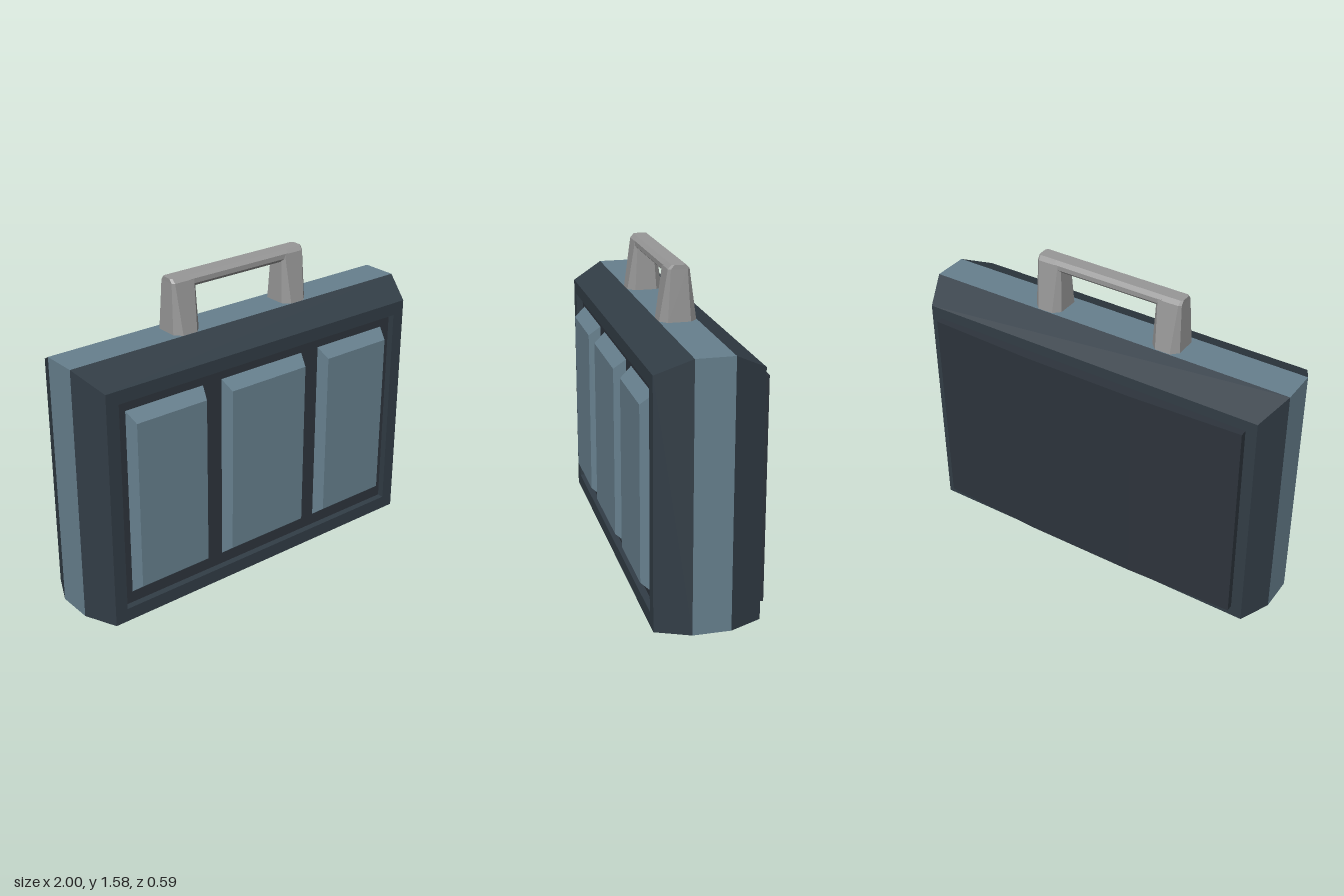
import * as THREE from 'three';

const mat = (name, color) => {
  const m = new THREE.MeshStandardMaterial({ color });
  m.name = name;
  return m;
};

// Maps a section point (u, v) at height w to space for each loft axis.
const AXES = {
  x: (u, v, w) => [w, u, v],
  y: (u, v, w) => [v, w, u],
  z: (u, v, w) => [u, v, w],
};

// Counter-clockwise rectangle, optionally with cut corners.
function rect(u0, u1, v0, v1, c = 0) {
  if (!c) return [[u0, v0], [u1, v0], [u1, v1], [u0, v1]];
  return [
    [u0 + c, v0], [u1 - c, v0], [u1, v0 + c], [u1, v1 - c],
    [u1 - c, v1], [u0 + c, v1], [u0, v1 - c], [u0, v0 + c],
  ];
}

// Flat-faced skin through sections [w, points], with end caps if wanted.
function loft(axis, sections, capStart = true, capEnd = true) {
  const pos = [];
  const loops = sections.map(([w, pts]) => pts.map(([u, v]) => AXES[axis](u, v, w)));
  const tri = (a, b, c) => pos.push(...a, ...b, ...c);
  for (let i = 0; i < loops.length - 1; i++) {
    const A = loops[i], B = loops[i + 1], n = A.length;
    for (let j = 0; j < n; j++) {
      const k = (j + 1) % n;
      tri(A[j], A[k], B[k]);
      tri(A[j], B[k], B[j]);
    }
  }
  const first = loops[0], last = loops[loops.length - 1];
  for (let j = 1; j < first.length - 1; j++) {
    if (capStart) tri(first[0], first[j + 1], first[j]);
    if (capEnd) tri(last[0], last[j], last[j + 1]);
  }
  const g = new THREE.BufferGeometry();
  g.setAttribute('position', new THREE.Float32BufferAttribute(pos, 3));
  g.computeVertexNormals();
  return g;
}

export function createModel() {
  const model = new THREE.Group();
  model.name = 'briefcase';
  const shellMat = mat('dark slate', 0x323d46);
  const panelMat = mat('dark panel', 0x2d343c);
  const blueMat = mat('steel blue', 0x67808e);
  const greyMat = mat('handle grey', 0x979797);
  const add = (name, geometry, material, parent = model) => {
    const mesh = new THREE.Mesh(geometry, material);
    mesh.name = name;
    parent.add(mesh);
    return mesh;
  };

  // Case: central band between two bevelled halves, flat underneath
  const outer = rect(-1, 1, 0, 1.31);
  const inner = rect(-0.927, 0.927, 0, 1.227);
  add('centreBand', loft('z', [[-0.08, outer], [0.105, outer]], false, false), blueMat);
  add('frontShell', loft('z', [[0.105, outer], [0.27, inner]], false, false), shellMat);
  add('backShell', loft('z', [[-0.24, inner], [-0.08, outer]], true, false), shellMat);

  // Front frame around the recess
  const toVec = (pts) => pts.map(([x, y]) => new THREE.Vector2(x, y));
  const frameShape = new THREE.Shape(toVec(inner));
  frameShape.holes.push(new THREE.Path(toVec(rect(-0.86, 0.86, 0.07, 1.16).reverse())));
  const frame = new THREE.ExtrudeGeometry(frameShape, { depth: 0.035, bevelEnabled: false });
  frame.translate(0, 0, 0.235);
  add('frontFrame', frame, shellMat);
  const floor = new THREE.PlaneGeometry(1.74, 1.11);
  floor.translate(0, 0.615, 0.236);
  add('frontRecess', floor, panelMat);

  // Three raised front panels with sloping edges
  for (const [x0, x1] of [[-0.805, -0.365], [-0.255, 0.25], [0.36, 0.8]]) {
    add('frontPanel', loft('z', [
      [0.236, rect(x0, x1, 0.13, 1.1)],
      [0.295, rect(x0 + 0.022, x1 - 0.022, 0.18, 1.05)],
    ], false, true), blueMat);
  }

  // Slightly bowed back panel
  const bow = [
    [-0.24, 0.87], [-0.24, -0.87], [-0.275, -0.87],
    [-0.298, -0.3], [-0.298, 0.3], [-0.275, 0.87],
  ].reverse();
  add('backPanel', loft('y', [[0.06, bow], [1.17, bow]]), panelMat);

  // Handle: two tapered legs and a grip with cut corners
  const handle = new THREE.Group();
  handle.name = 'handle';
  model.add(handle);
  for (const s of [-1, 1]) {
    const section = (halfZ, x0, x1, c) =>
      rect(0.014 - halfZ, 0.014 + halfZ, Math.min(s * x0, s * x1), Math.max(s * x0, s * x1), c);
    add('handleLeg', loft('y', [
      [1.305, section(0.091, 0.26, 0.41, 0.035)],
      [1.56, section(0.052, 0.268, 0.402, 0.012)],
      [1.58, section(0.034, 0.268, 0.402, 0.01)],
    ]), greyMat, handle);
  }
  const grip = rect(1.52, 1.58, -0.038, 0.066, 0.018);
  add('handleGrip', loft('x', [[-0.3, grip], [0.3, grip]]), greyMat, handle);

  return model;
}
